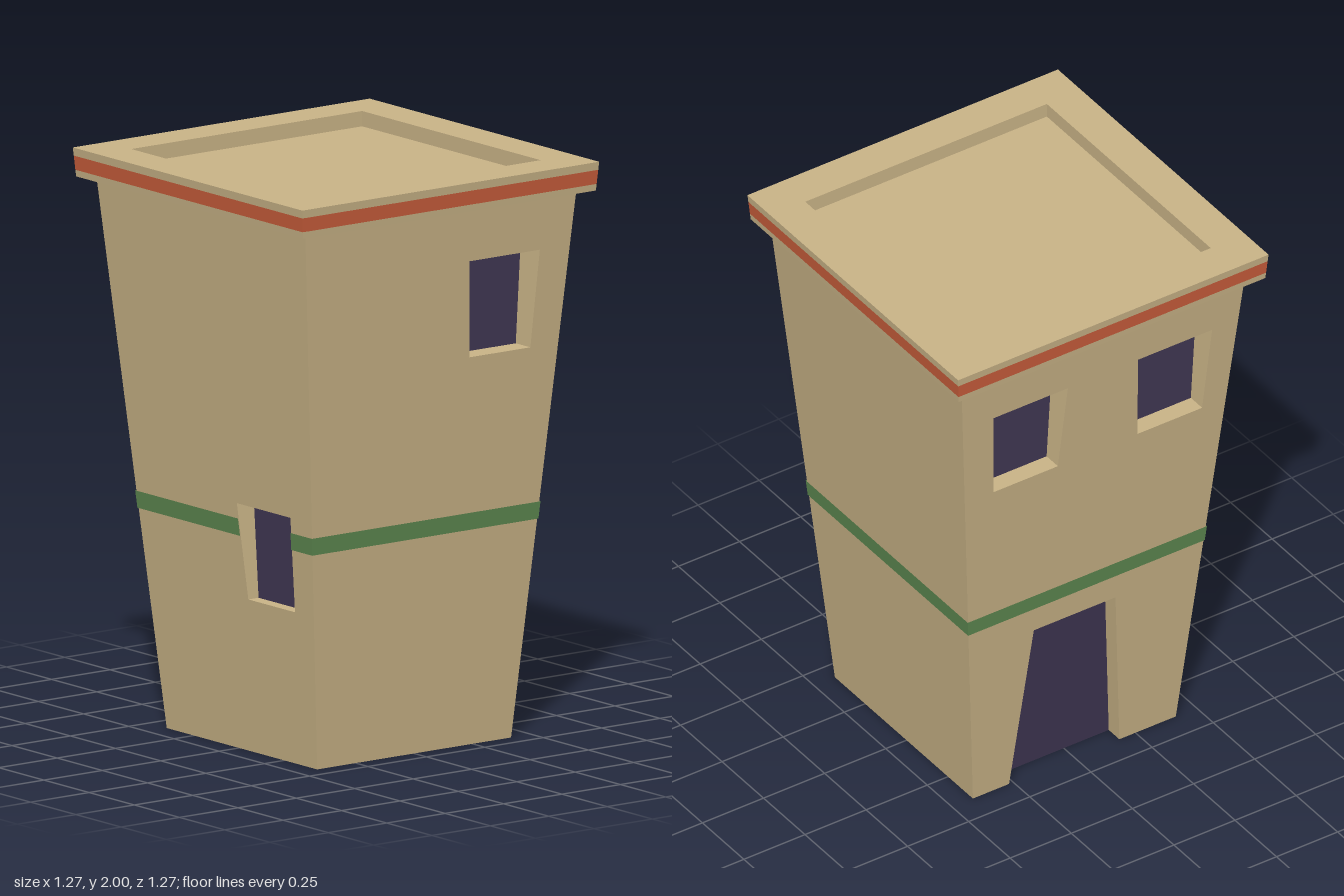
import * as THREE from 'three';

const paint = (name, color) => {
  const m = new THREE.MeshStandardMaterial({ color, side: THREE.DoubleSide });
  m.name = name;
  return m;
};

// Flat polygon in (u, y), with optional holes
function polygon(points, holes = []) {
  const shape = new THREE.Shape(points.map(p => new THREE.Vector2(...p)));
  for (const h of holes) shape.holes.push(new THREE.Path(h.map(p => new THREE.Vector2(...p))));
  return new THREE.ShapeGeometry(shape);
}

// Push a polygon out to a sloping face: z = out(y)
function lean(geo, out) {
  const p = geo.attributes.position;
  for (let i = 0; i < p.count; i++) p.setZ(i, out(p.getY(i)));
  geo.computeVertexNormals();
  return geo;
}

// Trapezoid outline, bottom corners first: b0, b1 at y0 and t0, t1 at y1
const trapezoid = (y0, b0, b1, y1, t0, t1) => [[b0, y0], [b1, y0], [t1, y1], [t0, y1]];

// Sides of an opening, from the wall face back to the pane
function reveal(outline, out, inner, skipSill) {
  const v = [];
  outline.forEach((a, i) => {
    if (skipSill && i === 0) return;
    const b = outline[(i + 1) % outline.length];
    const A = [...a, out(a[1])], B = [...b, out(b[1])];
    const C = [...b, inner(b[1])], D = [...a, inner(a[1])];
    v.push(...A, ...B, ...C, ...A, ...C, ...D);
  });
  const geo = new THREE.BufferGeometry();
  geo.setAttribute('position', new THREE.Float32BufferAttribute(v, 3));
  geo.computeVertexNormals();
  return geo;
}

export function createModel() {
  const model = new THREE.Group();
  model.name = 'tower';
  const plaster = paint('plaster', 0xcbb588);
  const green = paint('greenBand', 0x5f8b52);
  const red = paint('redBand', 0xcc5f3c);
  const dark = paint('darkOpening', 0x403753);

  const add = (parent, name, geo, mat) => {
    const mesh = new THREE.Mesh(geo, mat);
    mesh.name = name;
    parent.add(mesh);
    return mesh;
  };

  // Distance of each wall from the middle, growing with height
  const side = y => 0.415 + 0.0868 * y;
  const front = y => 0.432 + 0.0779 * y;
  const back = y => 0.40 + 0.0921 * y;
  const wallTop = 1.9, band = [0.76, 0.82];

  // u runs to the viewer's right when facing each wall
  const upper = (t0, t1) => trapezoid(1.37, t0 + 0.02, t1 - 0.02, 1.71, t0, t1);
  const walls = [
    { name: 'front', turn: 0, out: front, lo: side, hi: side,
      openings: [{ name: 'window', outline: upper(0.135, 0.435), inner: () => 0.458 }] },
    { name: 'left', turn: Math.PI / 2, out: side, lo: front, hi: back, openings: [] },
    { name: 'back', turn: Math.PI, out: back, lo: side, hi: side,
      openings: [
        { name: 'window', outline: upper(-0.437, -0.133), inner: () => 0.458 },
        { name: 'window', outline: upper(0.153, 0.457), inner: () => 0.458 },
        { name: 'door', outline: trapezoid(0, -0.267, 0.184, 0.66, -0.207, 0.127),
          inner: y => back(y) - 0.064 },
      ] },
    { name: 'right', turn: -Math.PI / 2, out: side, lo: back, hi: front,
      openings: [{ name: 'window', outline: trapezoid(0.54, 0.112, 0.37, 0.873, 0.086, 0.382),
        inner: () => 0.418 }] },
  ];

  for (const w of walls) {
    const g = new THREE.Group();
    g.name = w.name + 'Side';
    g.rotation.y = w.turn;
    model.add(g);

    // Wall sheet: windows are holes, the door notches the bottom edge
    const edge = [[-w.lo(0), 0]];
    const holes = [];
    for (const o of w.openings) {
      const [b0, b1, t1, t0] = o.outline;
      if (o.name === 'door') edge.push(b0, t0, t1, b1);
      else holes.push(o.outline);
    }
    edge.push([w.hi(0), 0], [w.hi(wallTop), wallTop], [-w.lo(wallTop), wallTop]);
    add(g, w.name + 'Wall', lean(polygon(edge, holes), w.out), plaster);

    // Recessed openings
    for (const o of w.openings) {
      add(g, o.name + 'Reveal', reveal(o.outline, w.out, o.inner, o.name === 'door'), plaster);
      add(g, o.name + 'Pane', lean(polygon(o.outline), o.inner), dark);
    }

    // Painted band, broken where a window crosses it
    const lift = 0.003, [y0, y1] = band;
    const pieces = [];
    let start = [-w.lo(y0) - lift, -w.lo(y1) - lift];
    for (const { outline: [b0, b1, t1, t0] } of w.openings) {
      if (b0[1] > y0 || t0[1] < y1) continue;
      const at = (b, t, y) => b[0] + (t[0] - b[0]) * (y - b[1]) / (t[1] - b[1]);
      pieces.push([...start, at(b0, t0, y0), at(b0, t0, y1)]);
      start = [at(b1, t1, y0), at(b1, t1, y1)];
    }
    pieces.push([...start, w.hi(y0) + lift, w.hi(y1) + lift]);
    for (const [l0, l1, r0, r1] of pieces) {
      const geo = polygon(trapezoid(y0, l0, r0, y1, l1, r1));
      add(g, 'greenBand', lean(geo, y => w.out(y) + lift), green);
    }

    // Cornice layers, flaring slightly upwards
    const cap = y => 0.627 + 0.08 * (y - 1.9);
    const layers = [[1.9, 1.923, plaster], [1.923, 1.972, red], [1.972, 2, plaster]];
    for (const [a, b, mat] of layers) {
      const geo = polygon(trapezoid(a, -cap(a), cap(a), b, -cap(b), cap(b)));
      add(g, mat === red ? 'redBand' : 'cornice', lean(geo, cap), mat);
    }

    // Inner face of the parapet
    const inside = polygon(trapezoid(1.947, -0.494, 0.494, 2, -0.494, 0.494));
    add(g, 'parapetInside', lean(inside, () => -0.494), plaster);
  }

  // Horizontal surfaces of the roof
  const square = h => trapezoid(-h, -h, h, h, -h, h);
  const flat = (name, geo, y, tilt) => {
    const mesh = add(model, name, geo, plaster);
    mesh.rotation.x = tilt;
    mesh.position.y = y;
  };
  flat('parapetTop', polygon(square(0.635), [square(0.494)]), 2, -Math.PI / 2);
  flat('roofFloor', polygon(square(0.494)), 1.947, -Math.PI / 2);
  flat('corniceUnderside', polygon(square(0.627), [square(0.57)]), 1.9, Math.PI / 2);

  return model;
}
